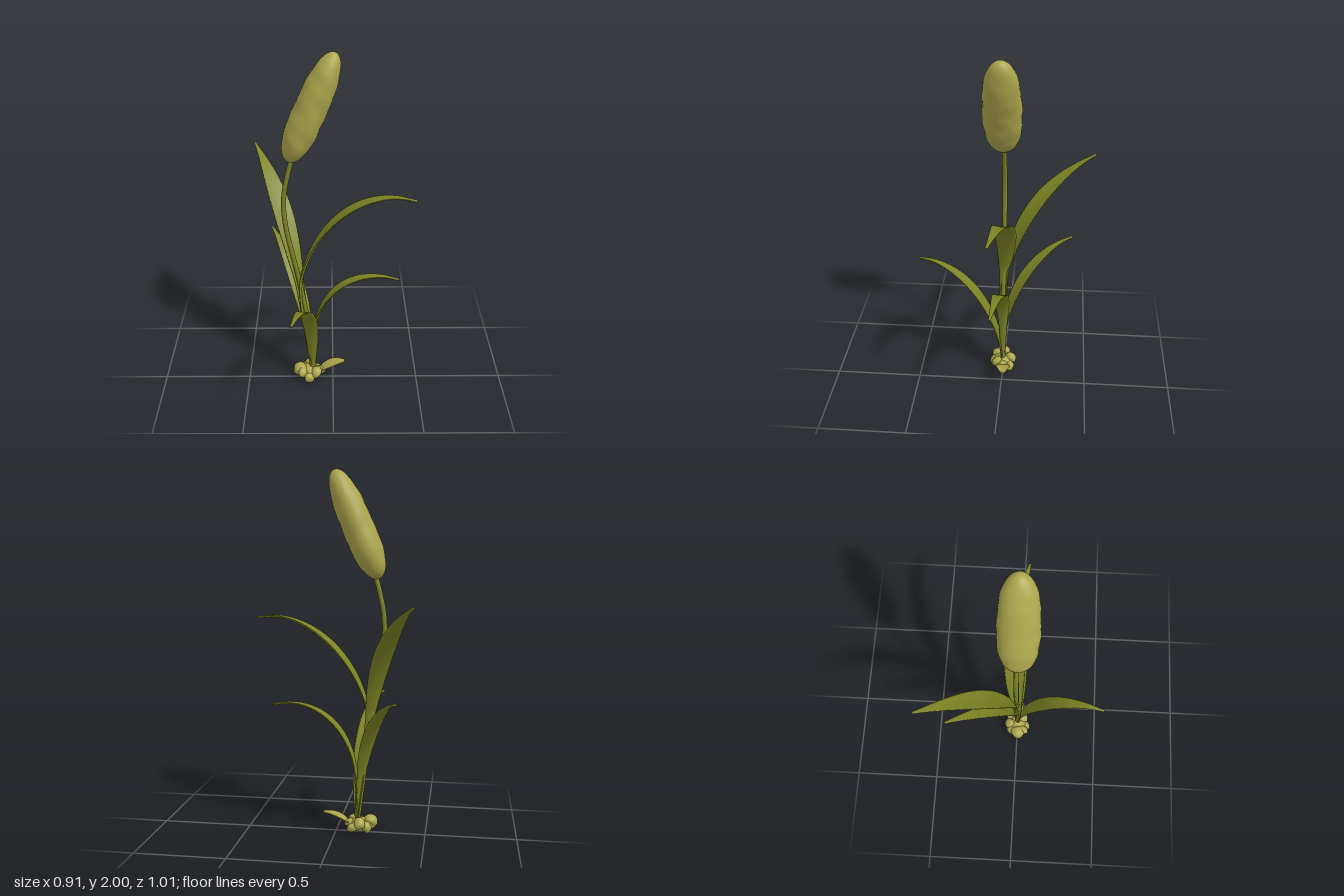
import * as THREE from 'three';

const mat = (name, color) => Object.assign(new THREE.MeshStandardMaterial({ color }), { name });
const V = (x, y, z) => new THREE.Vector3(x, y, z);

// Soft irregular dents that push the surface in and out from its vertical axis
function dent(geo, amount, freq) {
  const p = geo.attributes.position, v = V(0, 0, 0);
  for (let i = 0; i < p.count; i++) {
    v.fromBufferAttribute(p, i).multiplyScalar(freq);
    const wave = Math.sin(v.x + v.y * 0.7) + Math.sin(v.z * 1.3 - v.y) + Math.sin(v.y * 1.7 + v.x * 0.6);
    const s = 1 + amount * wave / 3;
    p.setXYZ(i, p.getX(i) * s, p.getY(i), p.getZ(i) * s);
  }
  geo.computeVertexNormals();
  return geo;
}

// Closed, cupped blade swept along a curve, with its width across the direction it leans
function blade(curve, widthAt) {
  const steps = 36, ring = 12, thick = 0.007, cup = 0.2, pos = [], index = [];
  const lean = curve.getPoint(1).sub(curve.getPoint(0));
  const across = V(lean.z, 0, -lean.x).normalize();
  for (let i = 0; i <= steps; i++) {
    const t = i / steps, c = curve.getPoint(t), tan = curve.getTangent(t);
    const s = across.clone().addScaledVector(tan, -across.dot(tan)).normalize();
    const n = tan.clone().cross(s);
    const w = widthAt(t) / 2;
    for (let j = 0; j < ring; j++) {
      const a = j / ring * Math.PI * 2, u = Math.cos(a);
      const h = Math.sin(a) * thick + cup * w * (u * u - 0.5);
      pos.push(...c.clone().addScaledVector(s, u * w).addScaledVector(n, h));
    }
  }
  for (let i = 0; i < steps; i++) for (let j = 0; j < ring; j++) {
    const a = i * ring + j, b = i * ring + (j + 1) % ring;
    index.push(a, b, b + ring, a, b + ring, a + ring);
  }
  // End caps
  const e = steps * ring;
  for (let j = 1; j < ring - 1; j++) index.push(0, j + 1, j, e, e + j, e + j + 1);
  const g = new THREE.BufferGeometry();
  g.setAttribute('position', new THREE.Float32BufferAttribute(pos, 3));
  g.setIndex(index);
  g.computeVertexNormals();
  return g;
}

export function createModel() {
  const group = new THREE.Group();
  const leafGreen = mat('leaf green', 0x7c8424);
  const strawGreen = mat('straw green', 0xaca64c);
  const add = (name, geo, m, parent = group) => {
    const mesh = new THREE.Mesh(geo, m);
    mesh.name = name;
    parent.add(mesh);
    return mesh;
  };

  // Curved stem
  const stemPath = new THREE.CatmullRomCurve3([
    V(-0.12, 0.05, 0), V(-0.13, 0.3, 0), V(-0.19, 0.68, 0),
    V(-0.26, 1.05, 0), V(-0.262, 1.22, 0), V(-0.2, 1.5, 0),
  ]);
  add('stem', new THREE.TubeGeometry(stemPath, 48, 0.014, 10), leafGreen);

  // Seed head: tilted, blunt-ended spike that narrows a little upwards
  const length = 0.628, outline = [];
  for (let i = 0; i <= 36; i++) {
    const u = -Math.cos(i / 36 * Math.PI);
    const r = (0.1 - 0.008 * u) * Math.sqrt(Math.max(0, 1 - Math.abs(u) ** 3));
    outline.push(new THREE.Vector2(r, (u + 1) / 2 * length));
  }
  const head = add('seedHead', dent(new THREE.LatheGeometry(outline, 28), 0.035, 38), strawGreen);
  head.scale.set(0.86, 1, 1.05);
  head.rotation.z = -0.405;
  head.position.set(-0.235, 1.42, 0.005);

  // Arching leaves: they follow the stem from the root, then bend away to a tip
  const leaf = (name, width, ...bend) => {
    const arch = new THREE.CubicBezierCurve3(...bend).getPoints(8);
    const curve = new THREE.CatmullRomCurve3([V(-0.122, 0.06, 0), ...arch], false, 'centripetal');
    const widthAt = (t) => 0.014 + 0.016 * (1 - t) + (width - 0.022) * Math.sin(Math.PI * t) ** 1.2;
    add(name, blade(curve, widthAt), leafGreen);
  };
  leaf('upperSideLeaf', 0.122, V(-0.185, 0.65, 0), V(-0.14, 0.98, -0.03), V(0.15, 1.27, -0.03), V(0.45, 1.2, 0.04));
  leaf('lowerSideLeaf', 0.09, V(-0.113, 0.3, 0), V(-0.1, 0.58, 0), V(0.1, 0.78, 0), V(0.37, 0.708, 0.035));
  leaf('frontLeaf', 0.09, V(-0.122, 0.15, 0.01), V(-0.12, 0.46, 0.05), V(-0.15, 0.74, 0.25), V(-0.217, 0.715, 0.5));
  leaf('upperBackLeaf', 0.122, V(-0.19, 0.65, -0.015), V(-0.24, 1, -0.07), V(-0.34, 1.22, -0.27), V(-0.45, 1.31, -0.507));
  leaf('lowerBackLeaf', 0.09, V(-0.14, 0.3, -0.012), V(-0.17, 0.56, -0.04), V(-0.27, 0.78, -0.2), V(-0.36, 0.815, -0.395));

  // Knotted root: a core and a bulb ringed by uneven lumps
  const root = new THREE.Group();
  root.name = 'root';
  group.add(root);
  const lump = (name, center, size, turn) => {
    const m = add(name, dent(new THREE.SphereGeometry(1, 14, 10), 0.16, 4), strawGreen, root);
    m.position.copy(center);
    m.scale.copy(size);
    m.rotation.set(turn * 0.4, turn, turn * 0.3);
  };
  lump('rootCore', V(-0.138, 0.045, 0), V(0.062, 0.042, 0.055), 0);
  lump('rootBulb', V(-0.193, 0.066, 0.005), V(0.042, 0.037, 0.042), 0.4);
  for (let i = 0; i < 8; i++) {
    const a = i / 8 * Math.PI * 2;
    const center = V(-0.138 + Math.cos(a) * 0.056, 0.05 + 0.017 * Math.sin(i * 2.4), Math.sin(a) * 0.052);
    lump('rootLump', center, V(0.036, 0.024, 0.03), i * 1.3);
  }

  // Small sprout curling out of the root
  const sprout = new THREE.QuadraticBezierCurve3(V(-0.1, 0.03, 0), V(-0.02, 0.11, -0.01), V(0.07, 0.109, -0.01));
  add('rootSprout', blade(sprout, (t) => 0.025 + 0.062 * Math.sin(Math.PI * t)), strawGreen, root);

  return group;
}
